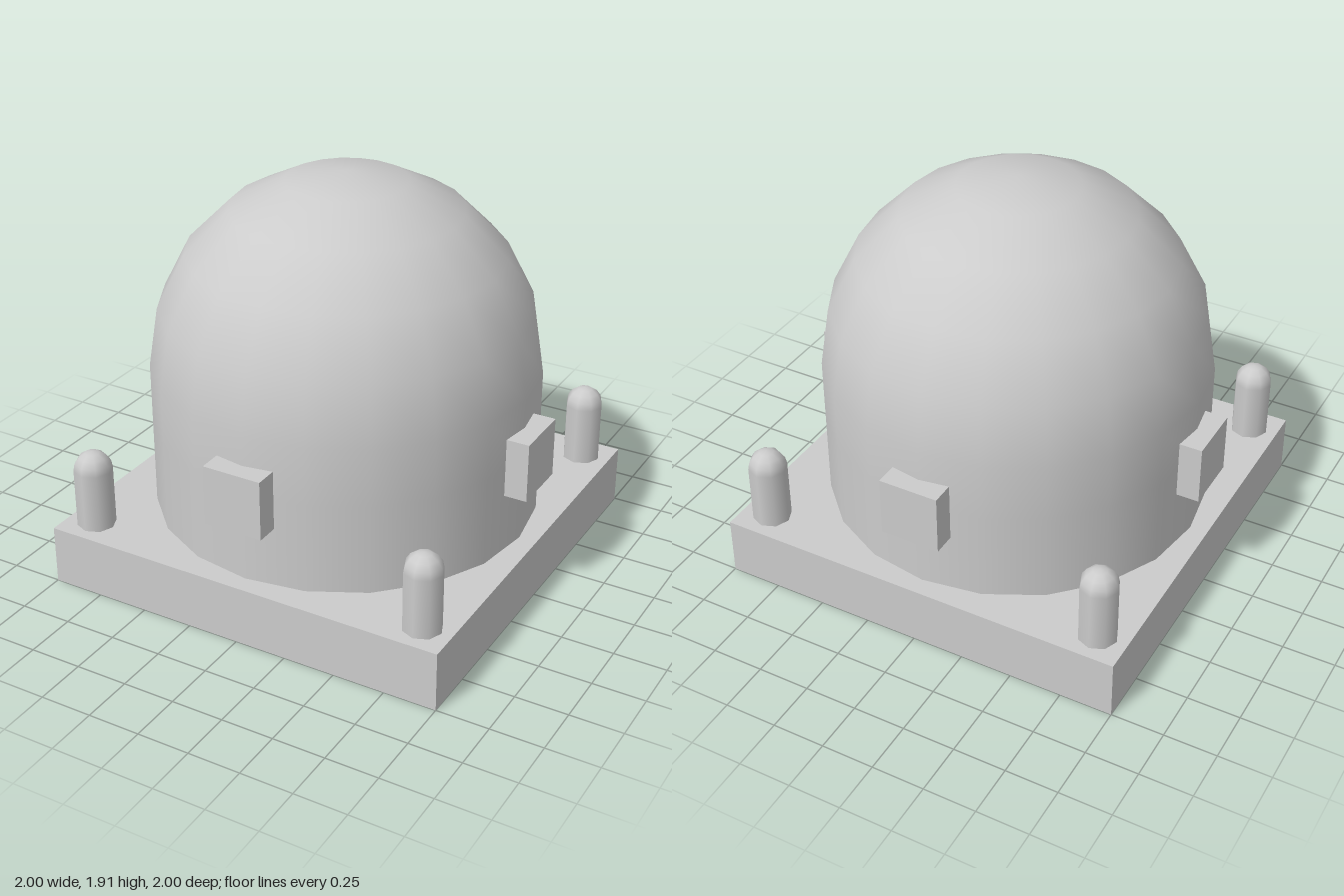
import * as THREE from 'three';

const material = new THREE.MeshStandardMaterial({ color: 0xcccccc, side: THREE.DoubleSide });

// Vertical wall capped by a hemisphere, turned around the y axis
function domedColumn(radius, bottom, spring, sides, arcSteps, wallLevels = []) {
  const profile = [bottom, ...wallLevels].map((y) => new THREE.Vector2(radius, y));
  for (let i = 0; i <= arcSteps; i++) {
    const a = (i / arcSteps) * Math.PI / 2;
    const r = i === arcSteps ? 0 : radius * Math.cos(a);
    profile.push(new THREE.Vector2(r, spring + radius * Math.sin(a)));
  }
  const geometry = new THREE.LatheGeometry(profile, sides);
  // Point the normals at the tip straight up
  const { position, normal } = geometry.attributes;
  for (let i = 0; i < position.count; i++) {
    if (position.getY(i) > spring + radius - 1e-4) normal.setXYZ(i, 0, 1, 0);
  }
  return geometry;
}

export function createModel() {
  const model = new THREE.Group();
  model.name = 'domedBuilding';

  const add = (name, geometry, x = 0, y = 0, z = 0) => {
    const mesh = new THREE.Mesh(geometry, material);
    mesh.name = name;
    mesh.position.set(x, y, z);
    model.add(mesh);
    return mesh;
  };

  // Square plinth
  const baseHeight = 0.286;
  add('base', new THREE.BoxGeometry(2, baseHeight, 2), 0, baseHeight / 2, 0);

  // Main dome on its drum
  add('dome', domedColumn(0.914, baseHeight, 1, 20, 5, [0.718]));

  // Round-topped posts at the corners
  const postGeometry = domedColumn(0.091, baseHeight, 0.575, 8, 4);
  for (const x of [-0.857, 0.857]) {
    for (const z of [-0.857, 0.857]) add('cornerPost', postGeometry, x, 0, z);
  }

  // Square blocks projecting from the four sides of the drum
  const blockGeometry = new THREE.BoxGeometry(0.286, 0.286, 0.16);
  for (let i = 0; i < 4; i++) {
    const a = i * Math.PI / 2;
    add('sideBlock', blockGeometry, Math.sin(a) * 0.92, 0.718, Math.cos(a) * 0.92).rotation.y = a;
  }

  return model;
}
